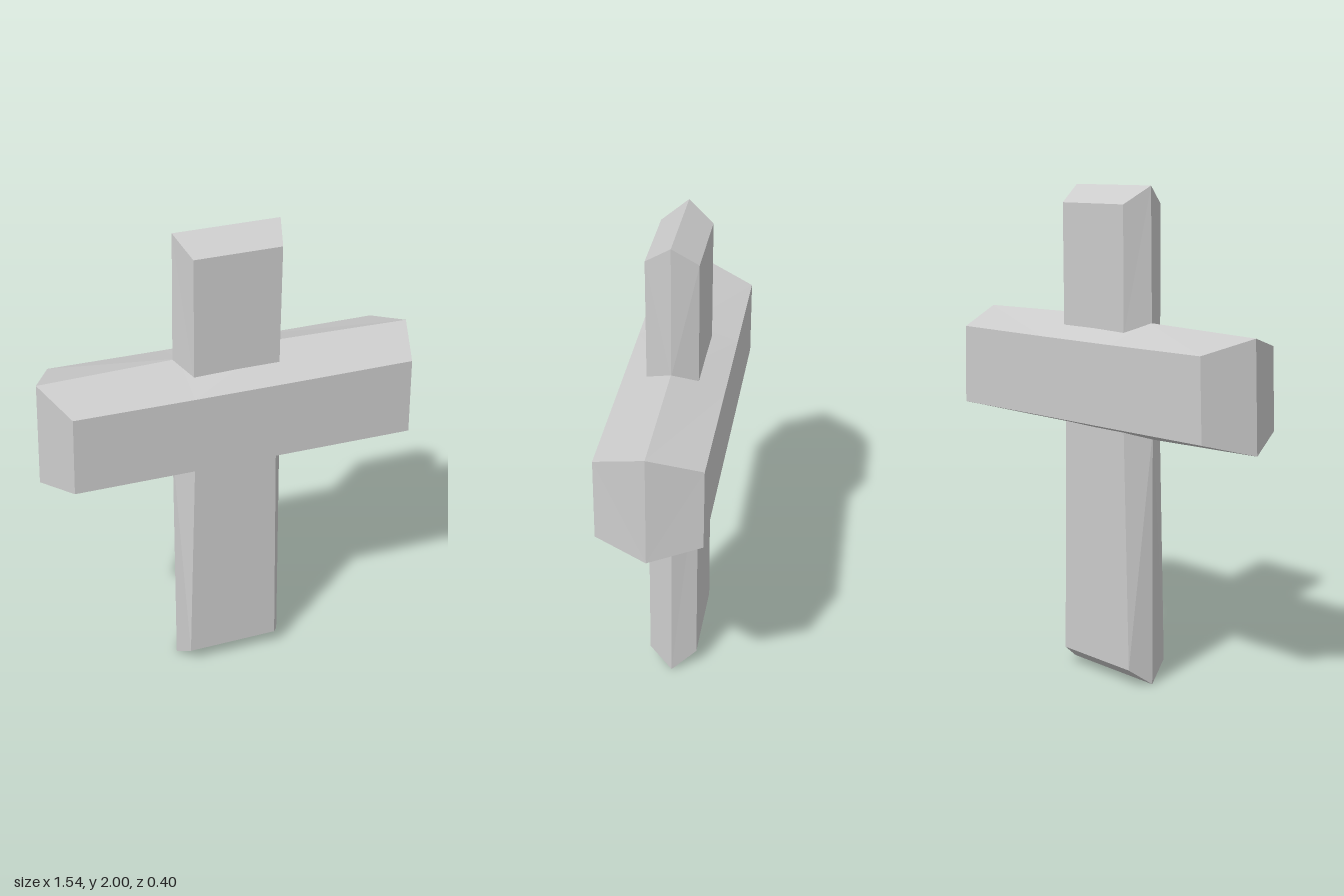
import * as THREE from 'three';

// Slab with a flat front and back, bevelled out to a ridge at z = 0.
// rim and face are matching counter-clockwise outlines.
function bevelledSlab(name, rim, face, depth) {
  const positions = [];
  const caps = THREE.ShapeUtils.triangulateShape(face.map(([x, y]) => new THREE.Vector2(x, y)), []);
  for (const side of [1, -1]) {
    const triangle = (a, b, c) => positions.push(...a, ...(side > 0 ? [...b, ...c] : [...c, ...b]));
    const outer = rim.map(([x, y]) => [x, y, 0]);
    const inner = face.map(([x, y]) => [x, y, side * depth]);
    for (const [a, b, c] of caps) triangle(inner[a], inner[b], inner[c]);
    outer.forEach((p, i) => {
      const j = (i + 1) % outer.length;
      triangle(p, outer[j], inner[j]);
      triangle(p, inner[j], inner[i]);
    });
  }
  const geometry = new THREE.BufferGeometry();
  geometry.setAttribute('position', new THREE.Float32BufferAttribute(positions, 3));
  geometry.computeVertexNormals();
  const mesh = new THREE.Mesh(geometry, new THREE.MeshStandardMaterial({ color: 0xcccccc, flatShading: true }));
  mesh.name = name;
  return mesh;
}

export function createModel() {
  const group = new THREE.Group();
  group.name = 'cross';

  // Upright, slightly wider at its foot
  group.add(bevelledSlab('uprightPost',
    [[-0.237, 0], [0.232, 0], [0.224, 1.05], [0.217, 1.47], [0.208, 2], [-0.215, 2], [-0.224, 1.47], [-0.232, 1.05]],
    [[-0.203, 0.075], [0.182, 0.075], [0.17, 1.05], [0.177, 1.43], [0.181, 1.93], [-0.166, 1.93], [-0.17, 1.43], [-0.171, 1.05]],
    0.1));

  // Thicker crossbar with a slightly uneven, hand-cut outline
  group.add(bevelledSlab('crossbar',
    [[-0.774, 1.032], [-0.2, 1.015], [0.2, 1.02], [0.77, 1.026], [0.76, 1.47], [0.2, 1.483], [-0.2, 1.475], [-0.757, 1.465]],
    [[-0.682, 1.087], [-0.2, 1.082], [0.2, 1.079], [0.706, 1.074], [0.697, 1.4], [0.2, 1.402], [-0.2, 1.405], [-0.67, 1.411]],
    0.2));

  return group;
}
